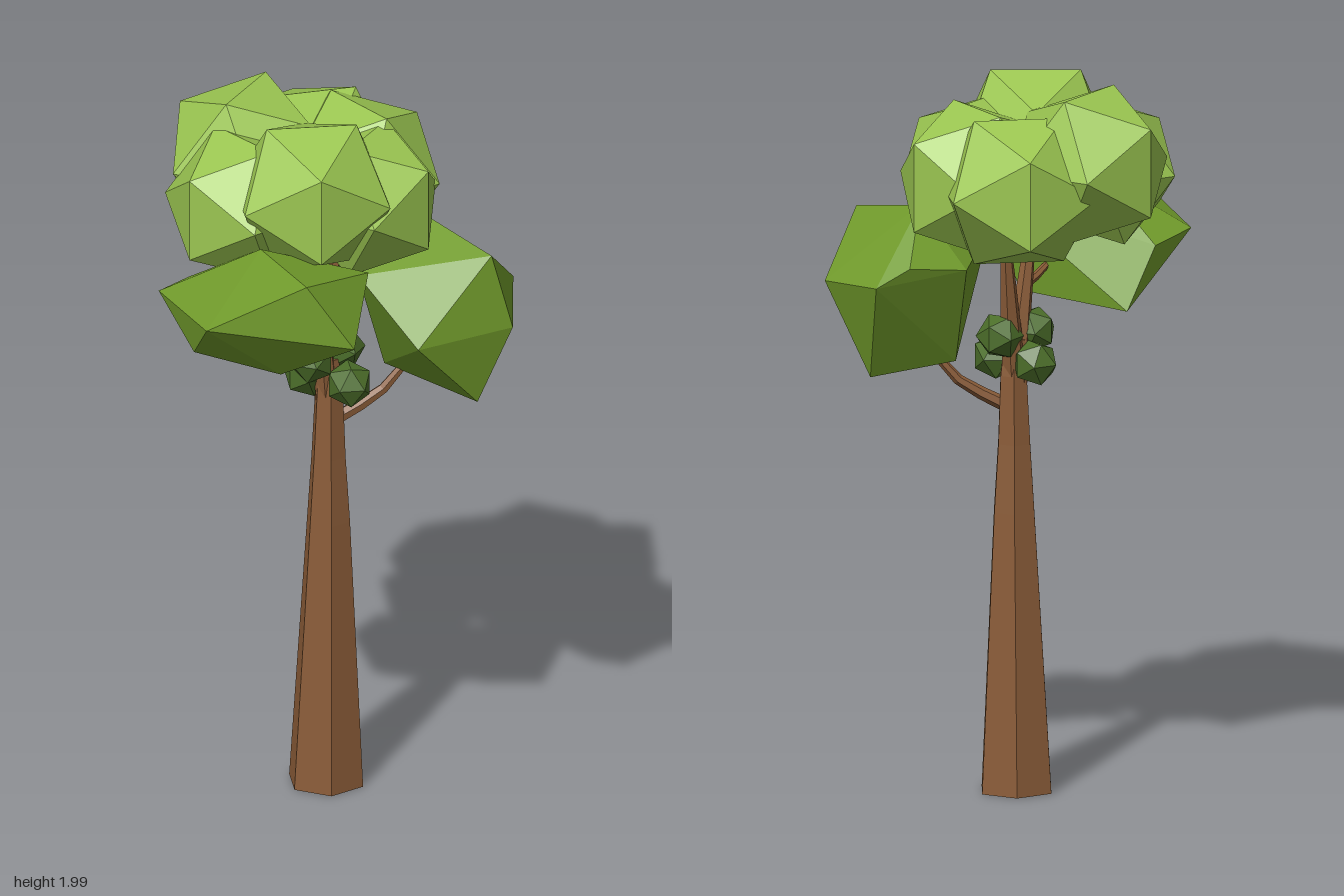
import * as THREE from 'three';
import { ConvexGeometry } from 'three/addons/geometries/ConvexGeometry.js';

const mat = (color) => new THREE.MeshStandardMaterial({ color, flatShading: true });
const bark = mat(0x8a5c38);
const crownGreen = mat(0x9bc651);
const sideGreen = mat(0x709a2b);
const shootGreen = mat(0x4c6e2a);

const V = (a) => new THREE.Vector3(...a);

function add(group, name, geometry, material) {
  const mesh = new THREE.Mesh(geometry, material);
  mesh.name = name;
  group.add(mesh);
}

// Faceted limb: rings of [x, y, z, radius], each square to the path
function limb(rings, sides, turn = 0) {
  const n = rings.length - 1;
  const geo = new THREE.CylinderGeometry(1, 1, n, sides, n);
  const pos = geo.attributes.position;
  const up = new THREE.Vector3(0, 1, 0);
  const tilts = rings.map((r, i) => {
    const a = V(rings[Math.max(i - 1, 0)].slice(0, 3));
    const b = V(rings[Math.min(i + 1, n)].slice(0, 3));
    return new THREE.Quaternion().setFromUnitVectors(up, b.sub(a).normalize());
  });
  const p = new THREE.Vector3();
  for (let i = 0; i < pos.count; i++) {
    p.fromBufferAttribute(pos, i);
    const k = Math.round(p.y + n / 2);
    const [x, y, z, r] = rings[k];
    p.setY(0).multiplyScalar(r).applyAxisAngle(up, turn);
    p.applyQuaternion(tilts[k]).add(new THREE.Vector3(x, y, z));
    pos.setXYZ(i, p.x, p.y, p.z);
  }
  geo.computeVertexNormals();
  return geo;
}

// Icosahedron with an edge on top, of the given half height, turned about y
function clump([x, y, z], half, yaw) {
  return new THREE.IcosahedronGeometry(half / 0.8507, 0).rotateY(yaw).translate(x, y, z);
}

export function createModel() {
  const tree = new THREE.Group();
  tree.name = 'tree';

  // Trunk, fork and side branches
  add(tree, 'trunk', limb([
    [0.068, 0.008, -0.003, 0.109], [0.07, 0.79, 0.004, 0.063],
    [0.07, 0.98, 0.004, 0.05], [0.072, 1.17, 0.004, 0.041], [0.068, 1.27, 0.004, 0.032],
  ], 6, Math.PI / 12), bark);
  const branches = {
    leftFork: [[0.07, 1.15, 0, 0.035], [0.1, 1.34, -0.01, 0.027], [0.125, 1.5, -0.022, 0.018], [0.15, 1.7, -0.035, 0.008]],
    rightFork: [[0.07, 1.15, 0, 0.035], [0.04, 1.34, 0.005, 0.027], [0.01, 1.5, 0.008, 0.018], [-0.02, 1.68, 0.01, 0.008]],
    lowBranch: [[0.08, 1.08, 0.01, 0.02], [0.14, 1.12, 0.06, 0.018], [0.19, 1.16, 0.1, 0.015], [0.25, 1.25, 0.15, 0.011]],
    twig: [[0.03, 1.41, 0.01, 0.014], [-0.03, 1.425, 0.02, 0.012], [-0.12, 1.46, 0.04, 0.008]],
  };
  for (const [name, rings] of Object.entries(branches)) add(tree, name, limb(rings, 6), bark);

  // Crown clumps: [centre, half height, yaw]
  const crown = new THREE.Group();
  crown.name = 'crown';
  tree.add(crown);
  [
    [[-0.04, 1.8, 0.03], 0.2, -0.785],
    [[0.06, 1.8, -0.272], 0.2, 0.2],
    [[0.25, 1.75, -0.03], 0.2, 1.31],
    [[0.25, 1.745, -0.19], 0.2, 2.5],
    [[0.13, 1.745, 0.09], 0.187, 0.19],
    [[-0.1, 1.745, -0.16], 0.19, -1.79],
  ].forEach(([c, half, yaw], i) => add(crown, `crownClump${i + 1}`, clump(c, half, yaw), crownGreen));

  // Large lower clumps, each the hull of a few corners
  add(tree, 'leftClump', new ConvexGeometry([
    [0.52, 1.47, 0.09], [0.485, 1.45, 0.32], [0.3, 1.4, 0.46], [0.02, 1.4, 0.35],
    [0.27, 1.61, 0.41], [0.3, 1.66, 0.14], [0.43, 1.19, 0.2], [0.22, 1.19, 0.4],
    [0.22, 1.22, 0.08], [0.28, 1.5, -0.02], [0.05, 1.55, 0.12], [0.44, 1.52, 0.04],
  ].map(V)), sideGreen);
  add(tree, 'rightClump', new ConvexGeometry([
    [-0.525, 1.565, 0.04], [-0.35, 1.69, 0.25], [-0.06, 1.63, 0.24], [-0.28, 1.51, 0.36],
    [-0.23, 1.695, 0], [-0.36, 1.55, -0.25], [-0.2, 1.53, -0.27], [-0.1, 1.36, -0.26],
    [-0.08, 1.36, 0.13], [-0.31, 1.385, 0.13], [-0.45, 1.45, -0.06],
  ].map(V)), sideGreen);

  // Small shoots around the fork
  [[0, 1.285, 0], [0.07, 1.21, 0.075], [0.055, 1.21, -0.06], [0.12, 1.285, 0.01]].forEach((c, i) =>
    add(tree, `shoot${i + 1}`, clump(c, 0.056, 0.3 + 0.5 * i), shootGreen));
  return tree;
}
